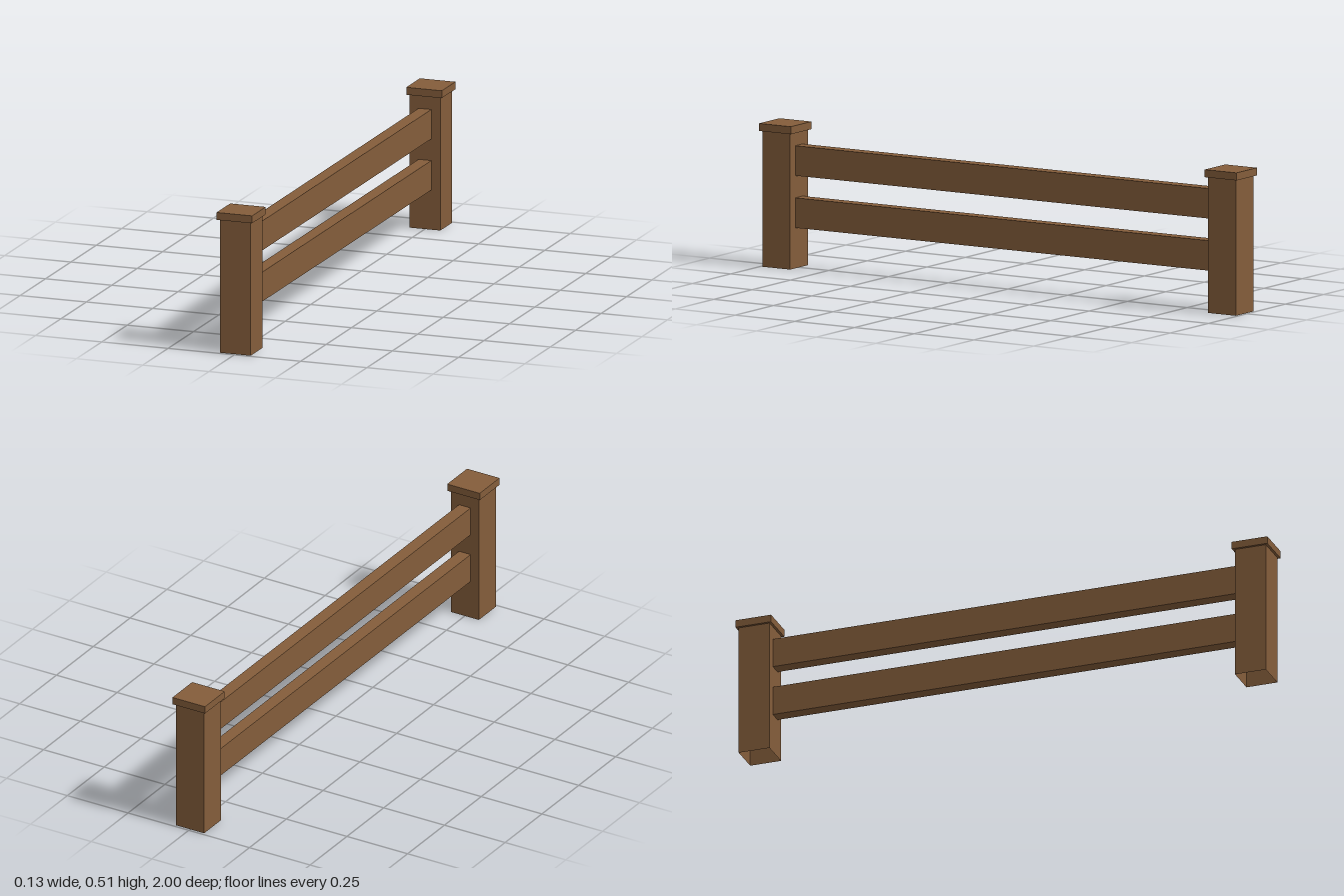
import * as THREE from 'three';

export function createModel() {
  const model = new THREE.Group();
  model.name = 'fence';

  const wood = new THREE.MeshStandardMaterial({ color: 0x845d3b });
  wood.name = 'brown wood';
  // Hollow posts show their inner walls from below
  const postWood = wood.clone();
  postWood.side = THREE.DoubleSide;
  postWood.flatShading = true;

  function add(name, geometry, material, y, z) {
    const mesh = new THREE.Mesh(geometry, material);
    mesh.name = name;
    mesh.position.set(0, y, z);
    model.add(mesh);
  }

  // Square post: open four-sided tube with flat sides facing the axes
  const postHeight = 0.485;
  const radius = 0.0578 * Math.SQRT2;
  const postGeometry = new THREE.CylinderGeometry(radius, radius, postHeight, 4, 1, true, Math.PI / 4);
  const capGeometry = new THREE.BoxGeometry(0.134, 0.027, 0.134);

  for (const [side, sign] of [['front', 1], ['back', -1]]) {
    add(side + 'Post', postGeometry, postWood, postHeight / 2, sign * 0.933);
    add(side + 'PostCap', capGeometry, wood, postHeight + 0.0135, sign * 0.933);
  }

  // Two rails spanning between the posts
  const railGeometry = new THREE.BoxGeometry(0.048, 0.107, 1.752);
  add('lowerRail', railGeometry, wood, 0.198, 0);
  add('upperRail', railGeometry, wood, 0.384, 0);

  return model;
}
